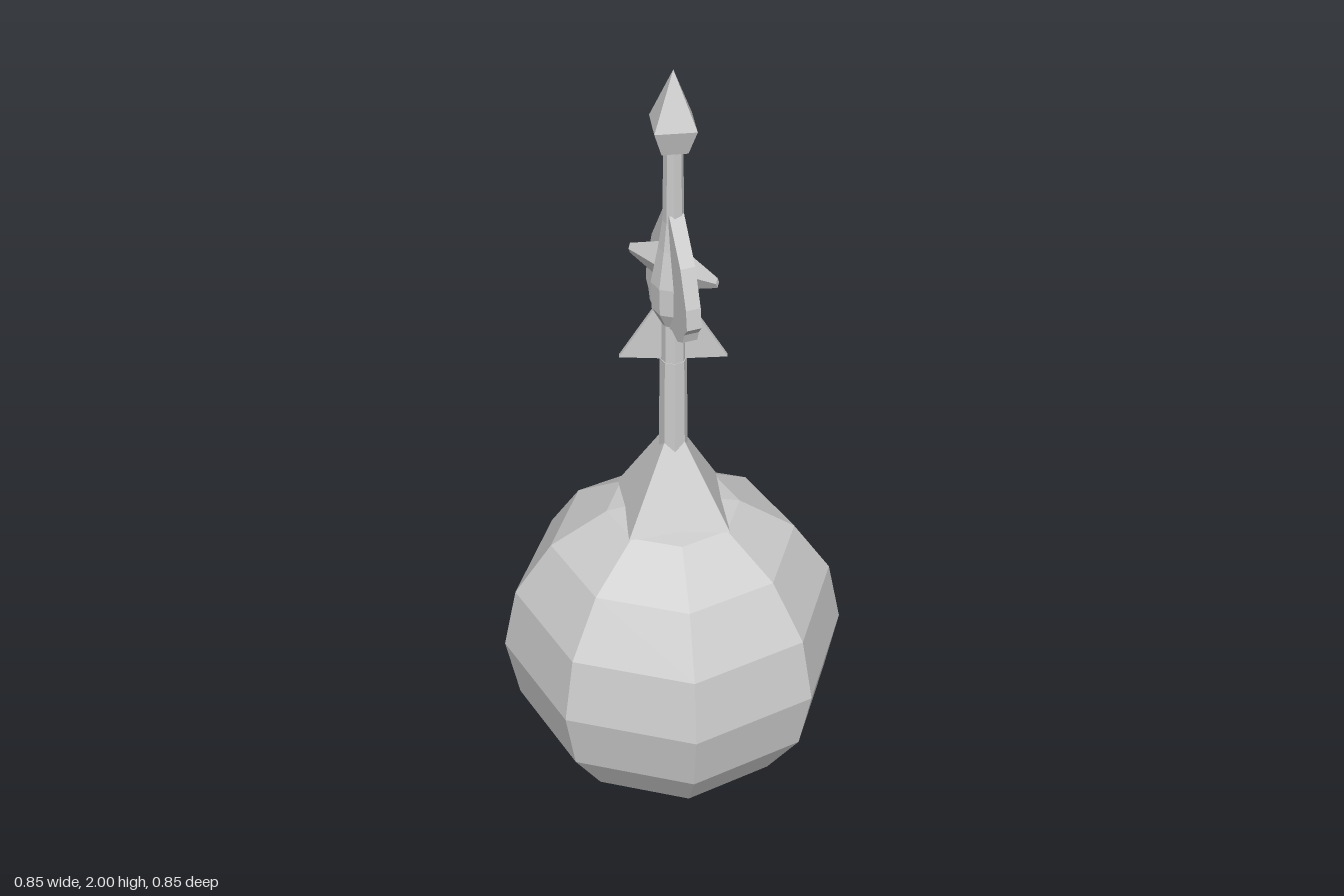
import * as THREE from 'three';

export function createModel() {
  const group = new THREE.Group();
  const mat = new THREE.MeshStandardMaterial({ color: 0xcccccc, flatShading: true });

  function add(name, geometry, y = 0) {
    const mesh = new THREE.Mesh(geometry, mat);
    mesh.name = name;
    mesh.position.y = y;
    group.add(mesh);
    return mesh;
  }

  // Thin plate cut from a radius/height outline, mirrored to both sides of the shaft
  function finPair(name, outline, thickness, angle) {
    const shape = new THREE.Shape(outline.map(([r, y]) => new THREE.Vector2(r, y)));
    for (const side of [0, Math.PI]) {
      const geo = new THREE.ExtrudeGeometry(shape, { depth: thickness, bevelEnabled: false });
      geo.translate(0, 0, -thickness / 2);
      // narrow the root and tip heights into a slim blade
      add(name, geo).rotation.y = angle + side;
    }
  }

  // Faceted ball and the pyramid collar on top of it
  add('ball', new THREE.SphereGeometry(0.427, 8, 8), 0.43);
  add('collar', new THREE.ConeGeometry(0.172, 0.26, 4), 0.955);

  // Shaft: thicker lower sleeve, slimmer upper rod
  add('lowerShaft', new THREE.CylinderGeometry(0.032, 0.035, 0.26, 8), 1.13);
  add('upperShaft', new THREE.CylinderGeometry(0.022, 0.031, 0.62, 8), 1.52);

  // Four-sided pointed tip
  add('tipPoint', new THREE.ConeGeometry(0.067, 0.13, 4, 1, true), 1.935);
  add('tipBase', new THREE.CylinderGeometry(0.067, 0.042, 0.06, 4), 1.84);

  // Broad wings around the middle of the shaft
  finPair('wing', [[0, 1.35], [0.035, 1.36], [0.07, 1.35], [0.1, 1.365], [0.108, 1.39],
    [0.124, 1.41], [0.118, 1.46], [0.085, 1.55], [0.02, 1.65], [0, 1.65]], 0.036, Math.PI / 3);

  // Low triangular tail fins
  finPair('tailFin', [[0, 1.26], [0.126, 1.265], [0.03, 1.42], [0, 1.42]], 0.014, -0.9);

  // Swollen hub under the blades
  const hub = [[0.024, 1.35], [0.05, 1.4], [0.052, 1.47], [0.035, 1.56], [0.022, 1.65]];
  add('hub', new THREE.LatheGeometry(hub.map(([r, y]) => new THREE.Vector2(r, y)), 8));

  // Tapering spikes to front and back
  for (const side of [1, -1]) {
    const spike = new THREE.CylinderGeometry(0.006, 0.028, 0.115, 4);
    spike.scale(1, 1, 2.2);
    spike.rotateX(side * Math.PI / 2);
    spike.translate(0, 0, side * 0.0675);
    add('spike', spike, 1.51);
  }

  return group;
}
